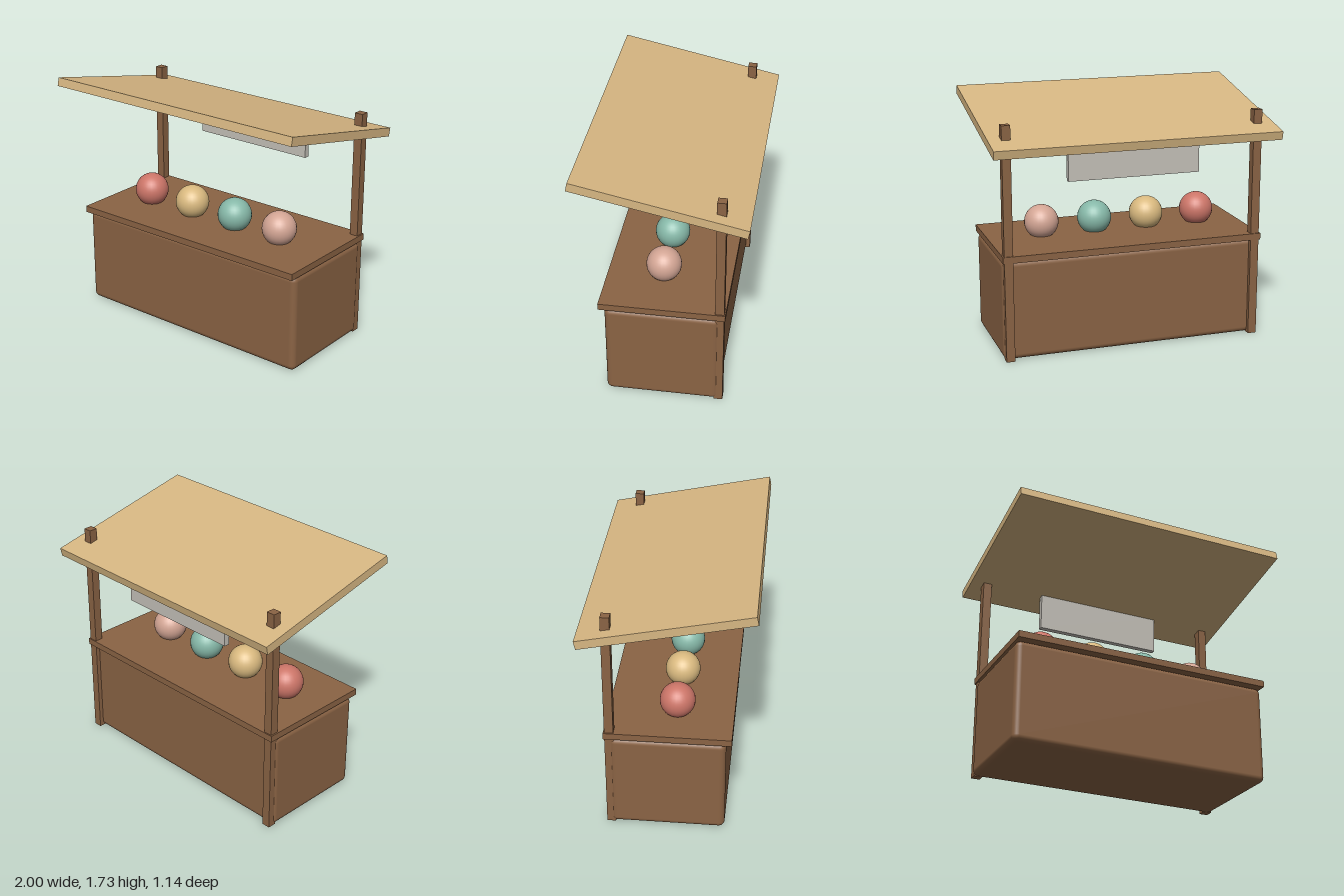
import * as THREE from 'three';
import { RoundedBoxGeometry } from 'three/addons/geometries/RoundedBoxGeometry.js';

function material(name, color) {
  const m = new THREE.MeshStandardMaterial({ color });
  m.name = name;
  return m;
}

export function createModel() {
  const stall = new THREE.Group();
  stall.name = 'marketStall';

  const wood = material('brown wood', 0x8a6344);
  const canopy = material('tan canopy', 0xd6b682);
  const board = material('pale grey board', 0xc4c0b8);

  function add(name, geometry, mat, x, y, z) {
    const mesh = new THREE.Mesh(geometry, mat);
    mesh.name = name;
    mesh.position.set(x, y, z);
    stall.add(mesh);
    return mesh;
  }

  // Cabinet with softened edges and a flat counter on top
  add('cabinet', new RoundedBoxGeometry(1.84, 0.695, 0.77, 4, 0.04), wood, 0, 0.3475, 0);
  add('counterTop', new THREE.BoxGeometry(1.844, 0.046, 0.846), wood, 0, 0.717, 0);

  // Rear posts, from the ground up through the roof
  for (const [name, side] of [['leftPost', 1], ['rightPost', -1]]) {
    add(name, new THREE.BoxGeometry(0.06, 1.618, 0.06), wood, side * 0.882, 0.809, -0.385);
  }

  // Sloping roof, higher at the front
  const roof = add('roof', new THREE.BoxGeometry(2, 0.06, 1.155), canopy, 0, 1.579, 0);
  roof.rotation.x = -0.21;

  // Blank board hanging between the posts
  add('signBoard', new THREE.BoxGeometry(0.924, 0.27, 0.04), board, 0, 1.345, -0.372);

  // Row of balls resting in the counter
  const balls = [
    ['redBall', 'coral red', 0xcc7568],
    ['yellowBall', 'sand yellow', 0xd9b97f],
    ['greenBall', 'soft green', 0x86b8a8],
    ['pinkBall', 'dusty pink', 0xd3a594],
  ];
  const ballGeometry = new THREE.SphereGeometry(0.12, 28, 20);
  balls.forEach(([name, colorName, color], i) => {
    add(name, ballGeometry, material(colorName, color), -0.618 + i * 0.385, 0.832, 0.04);
  });

  return stall;
}
